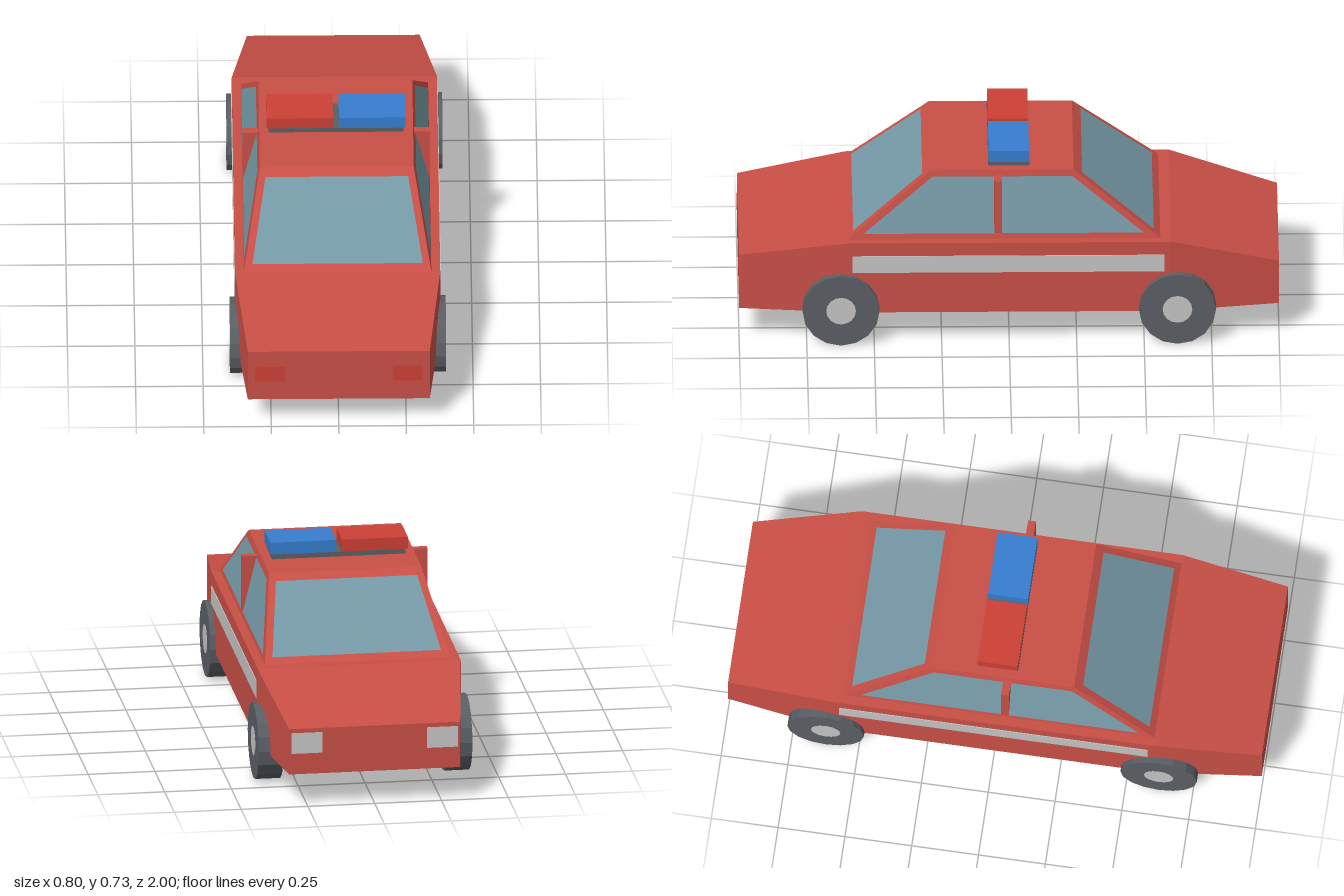
import * as THREE from 'three';

const mat = (name, color) => {
  const m = new THREE.MeshStandardMaterial({ color });
  m.name = name;
  return m;
};

// Flat-shaded polygons, each a list of four corners counter-clockwise from outside
function quads(faces) {
  const pos = [];
  for (const [a, b, c, d] of faces) pos.push(...a, ...b, ...c, ...a, ...c, ...d);
  const g = new THREE.BufferGeometry();
  g.setAttribute('position', new THREE.Float32BufferAttribute(pos, 3));
  g.computeVertexNormals();
  return g;
}

// Closed solid through a row of four-cornered rings
function loft(rings) {
  const faces = [[...rings[0]].reverse(), rings[rings.length - 1]];
  for (let r = 0; r < rings.length - 1; r++) {
    for (let i = 0; i < 4; i++) {
      const j = (i + 1) % 4;
      faces.push([rings[r][i], rings[r][j], rings[r + 1][j], rings[r + 1][i]]);
    }
  }
  return quads(faces);
}

export function createModel() {
  const paint = mat('body red', 0xc84f46);
  const glass = mat('window glass', 0x7599a6);
  const rubber = mat('dark grey', 0x5a5f65);
  const silver = mat('light grey', 0xc4c4c4);
  const redLamp = mat('lamp red', 0xcc4034);
  const blueLamp = mat('lamp blue', 0x367dce);

  const car = new THREE.Group();
  car.name = 'car';
  const add = (name, geometry, material) => {
    const m = new THREE.Mesh(geometry, material);
    m.name = name;
    car.add(m);
    return m;
  };
  // Box given by its lower and upper limits on each axis
  const box = (name, material, [x0, x1], [y0, y1], [z0, z1]) =>
    add(name, new THREE.BoxGeometry(x1 - x0, y1 - y0, z1 - z0), material)
      .position.set((x0 + x1) / 2, (y0 + y1) / 2, (z0 + z1) / 2);

  // Lower body: sections of z, half width, top height
  const bottom = 0.127;
  add('body', loft([
    [-1, 0.32, 0.303], [-0.6, 0.38, 0.413], [0.6, 0.38, 0.413], [1, 0.337, 0.347],
  ].map(([z, w, top]) => [[w, bottom, z], [w, top, z], [-w, top, z], [-w, bottom, z]])), paint);

  // Cabin: half width, front z and rear z at a given height
  const cabinAt = (y) => {
    const t = (y - 0.413) / 0.254;
    return { y, w: 0.347 - 0.062 * t, f: 0.6 - 0.31 * t, r: -0.56 + 0.32 * t };
  };
  add('cabin', loft([0.413, 0.667].map(cabinAt).map(({ y, w, f, r }) =>
    [[w, y, f], [w, y, r], [-w, y, r], [-w, y, f]])), paint);

  // Windows lie just proud of the cabin faces
  const lo = cabinAt(0.435), hi = cabinAt(0.645);
  const lift = 0.004, inset = 0.026, sideInset = 0.033;
  const endWindow = (key, s) => quads([[
    [-s, lo], [s, lo], [s, hi], [-s, hi],
  ].map(([k, c]) => [k * (c.w - inset), c.y, c[key] + s * lift])]);
  add('frontWindow', endWindow('f', 1), glass);
  add('rearWindow', endWindow('r', -1), glass);

  for (const s of [1, -1]) {
    const side = s > 0 ? 'left' : 'right';
    const span = (a, b) => (s > 0 ? [a, b] : [-b, -a]);

    const corners = [[lo, 'f', -1], [lo, 'r', 1], [hi, 'r', 1], [hi, 'f', -1]]
      .map(([c, key, k]) => [s * (c.w + lift), c.y, c[key] + k * sideInset]);
    add(side + 'SideWindow', quads([s > 0 ? corners : corners.reverse()]), glass);

    box(side + 'DoorPillar', paint, span(0.28, 0.347), [0.437, 0.65], [0.026, 0.055]);
    box(side + 'Stripe', silver, span(0.378, 0.383), [0.292, 0.36], [-0.575, 0.58]);

    // Lamps on both ends
    box(side + 'FrontLamp', redLamp, span(0.2, 0.31), [0.21, 0.28], [0.997, 1.001]);
    box(side + 'RearLamp', silver, span(0.195, 0.312), [0.207, 0.287], [-1.001, -0.997]);

    // Wheels with flat hub discs
    for (const z of [0.623, -0.623]) {
      const end = side + (z > 0 ? 'Front' : 'Rear');
      const tyre = add(end + 'Wheel', new THREE.CylinderGeometry(0.143, 0.143, 0.093, 16).toNonIndexed(), rubber);
      tyre.geometry.computeVertexNormals();
      tyre.rotation.z = Math.PI / 2;
      tyre.position.set(s * 0.3535, 0.143, z);
      const hub = add(end + 'Hub', new THREE.CylinderGeometry(0.055, 0.055, 0.004, 16), silver);
      hub.rotation.z = Math.PI / 2;
      hub.position.set(s * 0.399, 0.143, z);
    }
  }

  // Roof light bar
  box('lightBarBase', rubber, [-0.25, 0.25], [0.66, 0.685], [-0.076, 0.076]);
  box('redRoofLight', redLamp, [-0.258, -0.012], [0.685, 0.731], [-0.075, 0.075]);
  box('blueRoofLight', blueLamp, [0.01, 0.256], [0.685, 0.731], [-0.075, 0.075]);

  return car;
}
